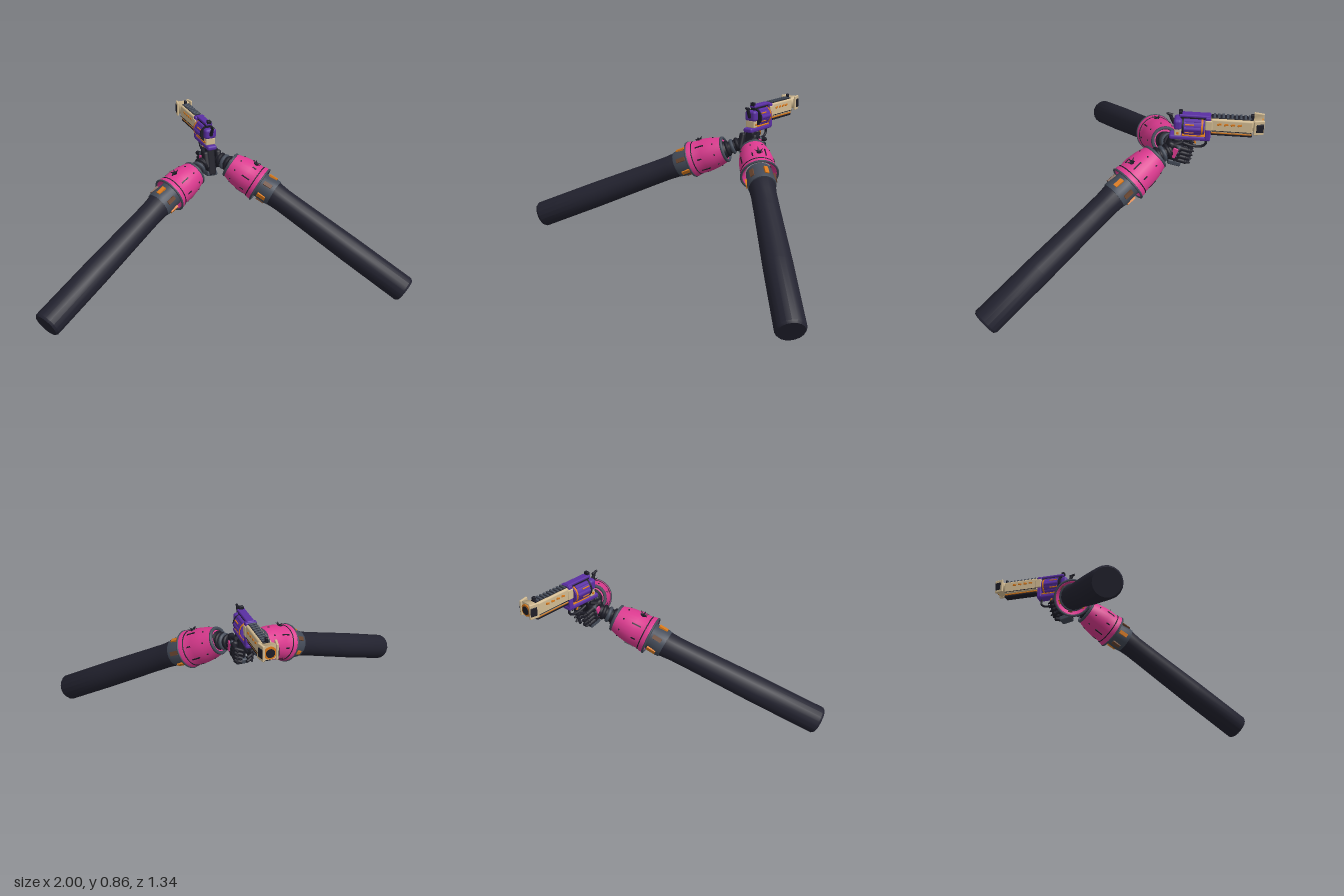
import * as THREE from 'three';
import { toCreasedNormals } from 'three/addons/utils/BufferGeometryUtils.js';
import { RoundedBoxGeometry } from 'three/addons/geometries/RoundedBoxGeometry.js';

const V = (x, y, z) => new THREE.Vector3(x, y, z);
const UP = V(0, 1, 0);
const GX = 0.146; // centre plane of the revolver

export function createModel() {
  const model = new THREE.Group();
  const mat = (name, hex) => {
    const m = new THREE.MeshStandardMaterial({ color: hex });
    m.name = name;
    return m;
  };
  const navy = mat('sleeve navy', 0x232330);
  const pink = mat('pink armour', 0xdb3a8f);
  const slate = mat('slate trim', 0x434a57);
  const black = mat('black metal', 0x1d1d27);
  const brown = mat('brown strap', 0x6a4630);
  const purple = mat('purple frame', 0x5a2fa3);
  const cream = mat('cream barrel', 0xd2bb92);
  const orange = mat('orange inlay', 0xd97a1c);

  const add = (parent, name, geo, material, x = 0, y = 0, z = 0) => {
    const m = new THREE.Mesh(geo, material);
    m.name = name;
    m.position.set(x, y, z);
    parent.add(m);
    return m;
  };
  // Group whose local y runs from p towards q
  const along = (parent, name, p, q) => {
    const g = new THREE.Group();
    g.name = name;
    g.position.copy(p);
    g.quaternion.setFromUnitVectors(UP, q.clone().sub(p).normalize());
    parent.add(g);
    return g;
  };
  // Turned part from [radius, height] pairs
  const lathe = (parent, name, material, pts, sides = 24) => add(parent, name,
    toCreasedNormals(new THREE.LatheGeometry(pts.map(([r, y]) => new THREE.Vector2(r, y)), sides), 0.6), material);
  // Straight rod between two points, optionally tapered
  const rod = (parent, name, material, p, q, r0, r1 = r0, sides = 10) => {
    const len = p.distanceTo(q);
    const g = along(parent, name, p, q);
    add(g, name, new THREE.CylinderGeometry(r1, r0, len, sides), material, 0, len / 2, 0);
    return g;
  };

  // Arms: elbow end, sleeve opening, gauntlet rim, gauntlet wrist, hand
  const arms = [
    ['rightArm', V(-0.965, 0.155, 0.325), V(-0.205, 0.51, -0.075), V(-0.158, 0.532, -0.093), V(0.022, 0.603, -0.167), V(0.098, 0.64, -0.215)],
    ['leftArm', V(0.945, 0.07, 0.617), V(0.395, 0.515, 0.03), V(0.357, 0.54, -0.01), V(0.23, 0.632, -0.137), V(0.185, 0.65, -0.21)],
  ];
  for (const [name, elbow, open, rim, wrist, hand] of arms) {
    const arm = new THREE.Group();
    arm.name = name;
    model.add(arm);

    const sl = elbow.distanceTo(open);
    const sleeve = along(arm, 'sleeve', elbow, open);
    lathe(sleeve, 'sleeveCloth', navy, [[0, 0], [0.066, 0], [0.074, 0.012], [0.073, sl * 0.4],
      [0.067, sl * 0.78], [0.066, sl * 0.9], [0.07, sl - 0.03], [0.066, sl], [0, sl]], 18);

    // Cuff with straps under the gauntlet
    const cuff = along(arm, 'cuff', open, rim);
    lathe(cuff, 'cuffBand', slate, [[0, -0.03], [0.073, -0.03], [0.076, -0.01], [0.072, 0.03], [0.07, 0.08], [0, 0.08]]);
    for (let i = 0; i < 6; i++) {
      const a = i * Math.PI / 3;
      const b = add(cuff, 'cuffStrap', new THREE.BoxGeometry(0.022, 0.05, 0.012), i % 2 ? orange : brown,
        Math.sin(a) * 0.075, 0.018, Math.cos(a) * 0.075);
      b.rotation.y = a;
    }

    // Bell shaped gauntlet
    const gl = rim.distanceTo(wrist);
    const g = along(arm, 'gauntlet', rim, wrist);
    lathe(g, 'gauntletShell', pink, [[0.07, 0.03], [0.09, 0.004], [0.1, 0.004], [0.099, 0.025], [0.093, 0.035],
      [0.094, gl * 0.45], [0.086, gl * 0.72], [0.07, gl], [0, gl]], 28);
    const ring = (n, r, tube, y, m) => {
      add(g, n, new THREE.TorusGeometry(r, tube, 8, 28), m, 0, y, 0).rotation.x = Math.PI / 2;
    };
    ring('rimTrim', 0.098, 0.006, 0.004, slate);
    ring('rimGroove', 0.0935, 0.003, 0.036, black);
    ring('wristTrim', 0.066, 0.009, gl, slate);
    for (let i = 0; i < 8; i++) {
      const a = (i + 0.5) * Math.PI / 4;
      const slot = add(g, 'slot', new THREE.BoxGeometry(0.007, i % 2 ? 0.05 : 0.024, 0.008), black,
        Math.sin(a) * 0.0915, gl * (i % 2 ? 0.42 : 0.36), Math.cos(a) * 0.0915);
      slot.rotation.y = a;
      add(g, 'rivet', new THREE.SphereGeometry(0.005, 8, 6), black, Math.sin(a) * 0.082, gl * 0.78, Math.cos(a) * 0.082);
    }
    // Star shaped stud on the upper face
    const up = UP.clone().applyQuaternion(g.quaternion.clone().invert()).setY(0).normalize();
    const stud = along(g, 'starStud', up.clone().multiplyScalar(0.092).setY(gl * 0.4), up.clone().multiplyScalar(0.2).setY(gl * 0.4));
    add(stud, 'studBase', new THREE.CylinderGeometry(0.012, 0.014, 0.012, 10), black);
    for (let i = 0; i < 5; i++) {
      const a = i * Math.PI * 0.4;
      const c = add(stud, 'studPoint', new THREE.ConeGeometry(0.006, 0.026, 6), black, Math.cos(a) * 0.015, 0.01, Math.sin(a) * 0.015);
      c.quaternion.setFromUnitVectors(UP, V(Math.cos(a), 0.6, Math.sin(a)).normalize());
    }

    // Ribbed wrist joint
    const wl = wrist.distanceTo(hand);
    const w = along(arm, 'wristJoint', wrist, hand);
    lathe(w, 'wristCore', black, [[0.052, -0.005], [0.036, 0.02], [0.032, wl], [0, wl]], 16);
    for (let i = 0; i < 3; i++) {
      add(w, 'wristRib', new THREE.TorusGeometry(0.037 - i * 0.002, 0.01, 8, 18), i === 1 ? slate : black,
        0, 0.016 + wl * 0.3 * i, 0).rotation.x = Math.PI / 2;
    }
  }

  // Hands wrapped around the grip
  for (const s of [-1, 1]) {
    const hand = new THREE.Group();
    hand.name = s < 0 ? 'rightHand' : 'leftHand';
    hand.position.set(GX, 0, 0);
    model.add(hand);
    const palm = add(hand, 'palm', new RoundedBoxGeometry(0.035, 0.1, 0.085, 3, 0.014), black, s * 0.038, 0.645, -0.225);
    palm.rotation.x = -0.35;
    const plate = add(hand, 'backPlate', new RoundedBoxGeometry(0.009, 0.06, 0.028, 2, 0.004), pink, s * 0.058, 0.645, -0.232);
    plate.rotation.x = -0.35;
    for (let i = 0; i < 4; i++) {
      const y = 0.672 - i * 0.025, z = -0.255 + i * 0.006, x = s * (0.047 - i * 0.002);
      const a = V(x, y, z), b = V(x, y - 0.012, z - 0.05), c = V(s * 0.012, y - 0.02, z - 0.066);
      add(hand, 'knuckle', new THREE.SphereGeometry(0.014, 10, 8), slate, a.x, a.y, a.z);
      rod(hand, 'fingerBase', black, a, b, 0.012, 0.011);
      add(hand, 'fingerJoint', new THREE.SphereGeometry(0.0125, 10, 8), black, b.x, b.y, b.z);
      rod(hand, 'fingerTip', black, b, c, 0.011, 0.008);
      rod(hand, 'fingerClaw', black, b, V(x * 0.9, b.y - 0.007, b.z - 0.026), 0.01, 0.004);
    }
    rod(hand, 'thumb', black, V(s * 0.045, 0.68, -0.215), V(s * 0.032, 0.7, -0.27), 0.014, 0.01);
  }

  // Revolver, pointing to the back
  const gun = new THREE.Group();
  gun.name = 'revolver';
  gun.position.x = GX;
  model.add(gun);
  // Box given by its z range, y range and width
  const block = (name, m, z0, z1, y0, y1, w, r = 0.006, x = 0) => add(gun, name,
    new RoundedBoxGeometry(w, y1 - y0, Math.abs(z1 - z0), 2, r), m, x, (y0 + y1) / 2, (z0 + z1) / 2);
  const tubeZ = (name, m, z0, z1, y, r, sides = 20) => rod(gun, name, m, V(0, y, z0), V(0, y, z1), r, r, sides);

  const grip = add(gun, 'grip', new RoundedBoxGeometry(0.05, 0.16, 0.058, 2, 0.012), black, 0, 0.63, -0.235);
  grip.rotation.x = -0.2;
  add(gun, 'gripBase', new RoundedBoxGeometry(0.062, 0.03, 0.07, 2, 0.008), slate, 0, 0.562, -0.23).rotation.x = -0.2;

  block('lowerFrame', purple, -0.2, -0.41, 0.706, 0.732, 0.056, 0.01);
  block('frameInlay', orange, -0.265, -0.395, 0.73, 0.738, 0.05, 0.003);
  block('topStrap', purple, -0.248, -0.402, 0.838, 0.853, 0.04);
  block('strapUnderside', black, -0.255, -0.395, 0.828, 0.839, 0.032, 0.003);
  block('frontPlate', purple, -0.382, -0.408, 0.715, 0.848, 0.06);
  block('recoilShield', purple, -0.222, -0.264, 0.765, 0.826, 0.07, 0.016);
  block('rearPlate', cream, -0.226, -0.26, 0.73, 0.772, 0.056);
  for (const x of [-0.0285, 0.0285]) {
    add(gun, 'platePin', new THREE.CylinderGeometry(0.007, 0.007, 0.006, 12), orange, x, 0.748, -0.243).rotation.z = Math.PI / 2;
  }

  // Cylinder with chamber bulges and coloured bands
  tubeZ('cylinder', purple, -0.27, -0.378, 0.785, 0.046, 24);
  tubeZ('cylinderRearBand', black, -0.264, -0.274, 0.785, 0.048, 24);
  tubeZ('cylinderFrontBand', orange, -0.362, -0.371, 0.785, 0.0485, 24);
  for (let i = 0; i < 6; i++) {
    const a = (i + 0.5) * Math.PI / 3, x = Math.sin(a), y = Math.cos(a);
    rod(gun, 'chamber', purple, V(x * 0.038, 0.785 + y * 0.038, -0.276), V(x * 0.038, 0.785 + y * 0.038, -0.36), 0.013, 0.013, 12);
    const f = i * Math.PI / 3;
    rod(gun, 'flute', orange, V(Math.sin(f) * 0.045, 0.785 + Math.cos(f) * 0.045, -0.28),
      V(Math.sin(f) * 0.045, 0.785 + Math.cos(f) * 0.045, -0.325), 0.004, 0.004, 8);
  }

  // Barrel shroud, side inlays and rails
  block('barrelShroud', cream, -0.408, -0.62, 0.765, 0.842, 0.06, 0.009);
  block('shroudCollar', cream, -0.382, -0.418, 0.776, 0.832, 0.068, 0.005);
  block('underInlay', orange, -0.412, -0.615, 0.757, 0.766, 0.05, 0.003);
  block('underRail', black, -0.41, -0.618, 0.745, 0.759, 0.046, 0.005);
  block('topRail', black, -0.41, -0.62, 0.84, 0.847, 0.036, 0.003);
  for (let i = 0; i < 9; i++) block('railSlat', slate, -0.42 - i * 0.022, -0.432 - i * 0.022, 0.845, 0.852, 0.04, 0.002);
  for (const s of [-1, 1]) {
    for (let i = 0; i < 4; i++) {
      block('sideInlay', orange, -0.44 - i * 0.034, -0.462 - i * 0.034, 0.81, 0.821, 0.006, 0.002, s * 0.03).rotation.x = 0.25;
    }
    block('sideLine', black, -0.415, -0.615, 0.774, 0.778, 0.004, 0.001, s * 0.0295);
  }

  // Flared muzzle
  const muzzle = add(gun, 'muzzleFlare', new THREE.CylinderGeometry(0.052, 0.036, 0.05, 4, 1).rotateY(Math.PI / 4), cream, 0, 0.815, -0.638);
  muzzle.rotation.x = -Math.PI / 2;
  for (const s of [-1, 1]) {
    block('muzzleFin', cream, -0.622, -0.674, 0.775, 0.856, 0.012, 0.004, s * 0.038).rotation.y = s * 0.2;
    block('muzzleFinInset', black, -0.635, -0.672, 0.79, 0.838, 0.008, 0.003, s * 0.042).rotation.y = s * 0.2;
  }
  tubeZ('muzzleRing', orange, -0.655, -0.669, 0.813, 0.032);
  tubeZ('bore', black, -0.655, -0.672, 0.813, 0.022);
  block('frontSight', black, -0.605, -0.622, 0.845, 0.868, 0.014, 0.003);

  // Hammer, rear sight and trigger
  rod(gun, 'hammer', black, V(0, 0.79, -0.225), V(0, 0.838, -0.2), 0.011, 0.008);
  rod(gun, 'hammerSpur', black, V(0, 0.836, -0.215), V(0, 0.846, -0.184), 0.008, 0.006);
  block('rearSight', black, -0.246, -0.264, 0.848, 0.868, 0.024, 0.003);
  const guard = new THREE.CatmullRomCurve3([V(0, 0.71, -0.385), V(0, 0.68, -0.388), V(0, 0.662, -0.37), V(0, 0.66, -0.32), V(0, 0.675, -0.27)]);
  add(gun, 'triggerGuard', new THREE.TubeGeometry(guard, 20, 0.007, 8), black);
  rod(gun, 'trigger', orange, V(0, 0.708, -0.325), V(0, 0.675, -0.335), 0.007, 0.004);

  return model;
}
